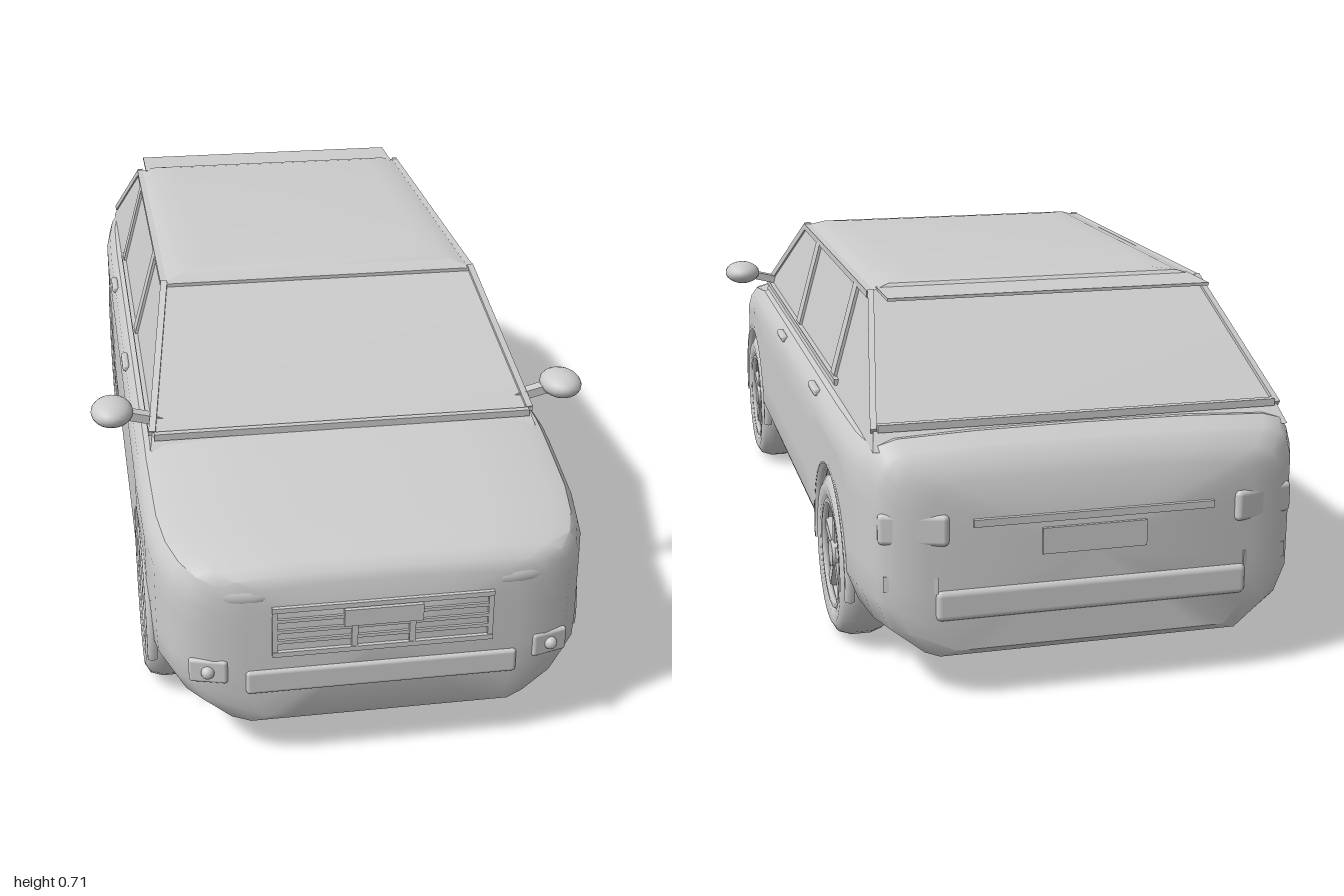
import * as THREE from 'three';
import { toCreasedNormals } from 'three/addons/utils/BufferGeometryUtils.js';
import { RoundedBoxGeometry } from 'three/addons/geometries/RoundedBoxGeometry.js';

const AXLES = [0.63, -0.61], WHEEL_R = 0.165, ARCH_R = 0.185;

// Piecewise-linear lookup in a list of [position, value], positions descending
function lookup(table, z) {
  for (let i = 0; i < table.length - 1; i++) {
    const [z0, v0] = table[i], [z1, v1] = table[i + 1];
    if (z >= z1) return v0 + (v1 - v0) * Math.min(1, Math.max(0, (z0 - z) / (z0 - z1)));
  }
  return table[table.length - 1][1];
}

// Closed skin over rings of [x, y, z], capped at both ends
function loft(rings, crease) {
  const pos = [];
  const tri = (...pts) => pts.forEach(p => pos.push(...p));
  const n = rings[0].length;
  for (let i = 0; i < rings.length - 1; i++) {
    for (let j = 0; j < n; j++) {
      const k = (j + 1) % n;
      const a = rings[i][j], b = rings[i][k], c = rings[i + 1][j], d = rings[i + 1][k];
      tri(a, c, b);
      tri(b, c, d);
    }
  }
  [rings[0], rings[rings.length - 1]].forEach((ring, end) => {
    const mid = [0, 1, 2].map(q => ring.reduce((s, p) => s + p[q], 0) / n);
    for (let j = 0; j < n; j++) {
      const k = (j + 1) % n;
      if (end) tri(mid, ring[k], ring[j]);
      else tri(mid, ring[j], ring[k]);
    }
  });
  const g = new THREE.BufferGeometry();
  g.setAttribute('position', new THREE.Float32BufferAttribute(pos, 3));
  return toCreasedNormals(g, crease);
}

// Lower body: sections along z, underside lifted over the wheels
function bodyGeometry() {
  const width = [[0.99, 0.26], [0.98, 0.32], [0.96, 0.365], [0.92, 0.395], [0.86, 0.416], [0.78, 0.428],
    [0.6, 0.434], [-0.6, 0.434], [-0.8, 0.43], [-0.9, 0.418], [-0.95, 0.4], [-0.975, 0.37], [-0.99, 0.31]];
  const top = [[0.99, 0.375], [0.98, 0.393], [0.96, 0.408], [0.92, 0.42], [0.8, 0.44], [0.65, 0.465],
    [0.55, 0.48], [-0.85, 0.482], [-0.92, 0.49], [-0.96, 0.465], [-0.99, 0.42]];
  const floor = z => {
    let y = Math.abs(z) > 0.98 ? 0.1 : 0.085;
    for (const c of AXLES) {
      const d = Math.abs(z - c);
      if (d <= ARCH_R) y = WHEEL_R + Math.sqrt(Math.max(0, ARCH_R ** 2 - d * d));
    }
    return y;
  };
  const stations = [...width, ...top].map(p => p[0]).concat([0.3, 0, -0.3]);
  for (const c of AXLES) {
    for (let i = 0; i <= 16; i++) stations.push(c + ARCH_R * 0.9999 * Math.cos(i * Math.PI / 16));
    stations.push(c + ARCH_R + 0.001, c - ARCH_R - 0.001);
  }
  const sorted = [...new Set(stations)].sort((a, b) => b - a);
  const rings = sorted.map(z => {
    const w = lookup(width, z), t = lookup(top, z), b = floor(z);
    const side = y => w * (1 - 0.22 * Math.max(0, (0.2 - y) / 0.115) ** 2.2);
    const half = [[side(b) * 0.8, b]];
    for (let k = 0; k <= 6; k++) {
      const y = b + (t - 0.06 - b) * k / 6;
      half.push([side(y), y]);
    }
    half.push([w * 0.98, t - 0.03], [w * 0.945, t - 0.01], [w * 0.86, t], [w * 0.5, t + 0.006]);
    const right = half.map(([x, y]) => [x, y, z]);
    const left = half.map(([x, y]) => [-x, y, z]).reverse();
    return [[0, b, z], ...right, [0, t + 0.008, z], ...left];
  });
  return loft(rings, 0.6);
}

// Cabin: rectangles stacked from the roof down
function cabinGeometry() {
  const rows = [[0.711, 0.25, 0.17, -0.56], [0.707, 0.3, 0.205, -0.585], [0.695, 0.338, 0.228, -0.6],
    [0.5, 0.392, 0.545, -0.895], [0.47, 0.4, 0.58, -0.93]];
  return loft(rows.map(([y, w, f, r]) => [[w, y, f], [w, y, r], [-w, y, r], [-w, y, f]]), 0.35);
}

export function createModel() {
  const paint = new THREE.MeshStandardMaterial({ color: 0xcccccc });
  paint.name = 'light grey';
  const car = new THREE.Group();
  car.name = 'car';

  const add = (name, geometry, x = 0, y = 0, z = 0, parent = car) => {
    const m = new THREE.Mesh(geometry, paint);
    m.name = name;
    m.position.set(x, y, z);
    parent.add(m);
    return m;
  };
  const box = (name, w, h, d, x, y, z, parent) => add(name, new THREE.BoxGeometry(w, h, d), x, y, z, parent);
  // Slim square strip between two points
  const strip = (name, a, b, w, d) => {
    const p = new THREE.Vector3(...a), q = new THREE.Vector3(...b);
    const m = add(name, new THREE.BoxGeometry(w, d, p.distanceTo(q)));
    m.position.copy(p).add(q).multiplyScalar(0.5);
    m.lookAt(q);
    return m;
  };

  add('body', bodyGeometry());
  add('cabin', cabinGeometry());

  // Window surrounds and cross trim
  strip('windshieldBottomTrim', [-0.39, 0.492, 0.56], [0.39, 0.492, 0.56], 0.014, 0.014);
  strip('windshieldTopTrim', [-0.335, 0.69, 0.232], [0.335, 0.69, 0.232], 0.012, 0.012);
  strip('rearWindowTrim', [-0.385, 0.505, -0.895], [0.385, 0.505, -0.895], 0.014, 0.014);
  box('rearSpoiler', 0.65, 0.006, 0.12, 0, 0.698, -0.64);

  // Wheel shapes, axis along y until turned
  const tireProfile = [[0.105, -0.04], [0.118, -0.05], [0.14, -0.052], [0.157, -0.042], [0.165, -0.018],
    [0.165, 0.018], [0.157, 0.042], [0.14, 0.052], [0.118, 0.05], [0.108, 0.04], [0.105, -0.04]];
  const tire = new THREE.LatheGeometry(tireProfile.map(p => new THREE.Vector2(...p)), 40);
  const disc = new THREE.CylinderGeometry(0.107, 0.107, 0.045, 32);
  const hub = new THREE.CylinderGeometry(0.026, 0.03, 0.025, 16);
  const rim = new THREE.TorusGeometry(0.106, 0.007, 6, 36).rotateX(Math.PI / 2);

  for (const s of [1, -1]) {
    const side = s > 0 ? 'left' : 'right';

    // Pillars, rails and belt line
    const onGlass = (y, z) => [s * (0.392 - (y - 0.5) * 0.277), y, z];
    strip(side + 'FrontPillar', onGlass(0.495, 0.55), onGlass(0.695, 0.225), 0.014, 0.014);
    strip(side + 'RearPillar', onGlass(0.5, -0.895), onGlass(0.695, -0.598), 0.012, 0.012);
    strip(side + 'RoofRail', onGlass(0.69, 0.23), onGlass(0.69, -0.6), 0.014, 0.014);
    strip(side + 'BeltTrim', onGlass(0.495, 0.55), onGlass(0.495, -0.52), 0.016, 0.012);
    for (const [z, w] of [[0.015, 0.045], [-0.475, 0.04]]) {
      const pillar = box(side + 'DoorPillar', 0.01, 0.195, w, s * 0.367, 0.595, z);
      pillar.rotation.z = s * 0.27;
    }

    // Door handles
    for (const z of [0.09, -0.405]) {
      add(side + 'DoorHandle', new RoundedBoxGeometry(0.016, 0.016, 0.08, 2, 0.006), s * 0.425, 0.455, z);
    }

    // Mirror
    const mirror = add(side + 'Mirror', new THREE.SphereGeometry(1, 20, 14), s * 0.471, 0.531, 0.51);
    mirror.scale.set(0.043, 0.027, 0.056);
    strip(side + 'MirrorArm', [s * 0.37, 0.505, 0.51], [s * 0.45, 0.525, 0.51], 0.025, 0.018);

    // Front and rear lamps
    const head = add(side + 'Headlight', new THREE.SphereGeometry(1, 24, 14), s * 0.278, 0.36, 0.963);
    head.scale.set(0.08, 0.026, 0.024);
    head.rotation.y = s * 0.2;
    const fog = add(side + 'FogLight', new RoundedBoxGeometry(0.075, 0.05, 0.016, 2, 0.007), s * 0.328, 0.203, 0.972);
    fog.rotation.y = s * 0.28;
    add(side + 'FogBulb', new THREE.SphereGeometry(0.013, 12, 8), s * 0.33, 0.203, 0.98);
    const tail = add(side + 'TailLight', new RoundedBoxGeometry(0.13, 0.06, 0.03, 2, 0.01), s * 0.335, 0.335, -0.968);
    tail.rotation.y = -s * 0.3;
    const reflector = box(side + 'RearReflector', 0.1, 0.03, 0.02, s * 0.34, 0.23, -0.968);
    reflector.rotation.y = -s * 0.3;

    AXLES.forEach((z, i) => {
      const place = i ? 'Rear' : 'Front';
      // Raised lip around the wheel opening
      const lip = new THREE.TorusGeometry(ARCH_R + 0.002, 0.011, 6, 32, Math.PI * 1.1)
        .rotateZ(-Math.PI * 0.05).rotateY(Math.PI / 2);
      add(side + place + 'ArchLip', lip, s * 0.424, WHEEL_R, z);

      // Wheel with five spokes
      const wheel = new THREE.Group();
      wheel.name = side + place + 'Wheel';
      wheel.position.set(s * 0.383, WHEEL_R, z);
      wheel.rotation.z = -s * Math.PI / 2;
      car.add(wheel);
      add('tire', tire, 0, 0, 0, wheel);
      add('rimDisc', disc, 0, -0.01, 0, wheel);
      add('rimEdge', rim, 0, 0.042, 0, wheel);
      add('hub', hub, 0, 0.035, 0, wheel);
      for (let k = 0; k < 5; k++) {
        const a = k * Math.PI * 2 / 5;
        const spoke = box('spoke', 0.088, 0.014, 0.022, -0.061 * Math.cos(a), 0.034, 0.061 * Math.sin(a), wheel);
        spoke.rotation.y = a;
      }
    });
  }

  // Grille: frame, slats and plate
  for (const x of [-0.205, 0.205]) box('grilleSide', 0.01, 0.1, 0.016, x, 0.286, 0.988);
  for (const y of [0.24, 0.335]) box('grilleEdge', 0.42, 0.01, 0.016, 0, y, 0.99);
  for (const y of [0.265, 0.287, 0.31]) box('grilleSlat', 0.4, 0.007, 0.01, 0, y, 0.99);
  box('frontPlate', 0.15, 0.035, 0.008, 0, 0.308, 0.995);
  for (const x of [-0.055, 0.055]) box('plateBracket', 0.012, 0.05, 0.01, x, 0.268, 0.992);
  add('lowerIntake', new RoundedBoxGeometry(0.52, 0.05, 0.02, 2, 0.008), 0, 0.18, 0.987);

  // Rear bumper and plate
  add('rearBumper', new RoundedBoxGeometry(0.6, 0.06, 0.03, 2, 0.012), 0, 0.19, -0.983);
  box('rearPlate', 0.2, 0.05, 0.008, 0, 0.3, -0.992);
  box('rearPlateTrim', 0.46, 0.014, 0.016, 0, 0.345, -0.99);

  return car;
}
